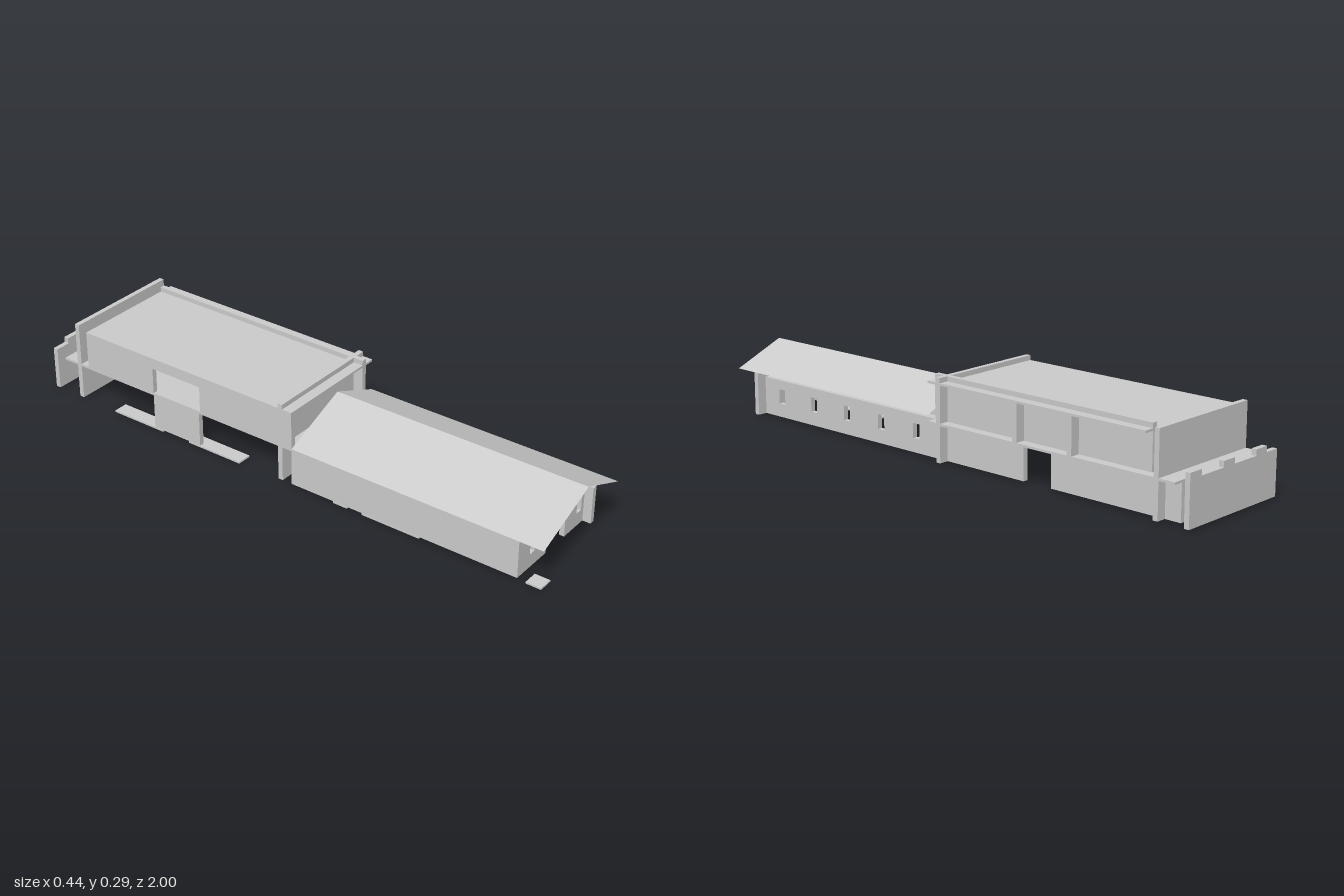
import * as THREE from 'three';

const T = 0.018; // wall thickness
const W = 0.22; // half width
const BASE = 0.007;
const FLOOR = 0.14;
const TOP = 0.292;

export function createModel() {
  const group = new THREE.Group();
  const mat = new THREE.MeshStandardMaterial({ color: 0xcccccc, flatShading: true });
  const thin = new THREE.MeshStandardMaterial({ color: 0xcccccc, flatShading: true, side: THREE.DoubleSide });

  const add = (name, geometry, material = mat) => {
    const mesh = new THREE.Mesh(geometry, material);
    mesh.name = name;
    group.add(mesh);
    return mesh;
  };
  // Box given by its limits on each axis
  const box = (name, x0, x1, y0, y1, z0, z1) =>
    add(name, new THREE.BoxGeometry(x1 - x0, y1 - y0, z1 - z0)
      .translate((x0 + x1) / 2, (y0 + y1) / 2, (z0 + z1) / 2));
  const polygon = (points) => new THREE.Shape(points.map(([x, y]) => new THREE.Vector2(x, y)));
  const rect = (x0, x1, y0, y1) => polygon([[x0, y0], [x1, y0], [x1, y1], [x0, y1]]);
  const panel = (shape) => new THREE.ExtrudeGeometry(shape, { depth: T, bevelEnabled: false });
  // Upright wall along z, drawn in (z, y), with its lower x face at x
  const sideWall = (name, shape, x) =>
    add(name, panel(shape).rotateY(-Math.PI / 2).translate(x + T, 0, 0));

  // Front wall: stepped gable, doorway and two windows
  const steps = [FLOOR, 0.16, 0.18, 0.2, 0.22, 0.2, 0.18, 0.16];
  const outline = [[-W, BASE], [-0.055, BASE], [-0.055, FLOOR], [0.055, FLOOR], [0.055, BASE], [W, BASE]];
  for (let i = 7; i >= 0; i--) {
    outline.push([-W + (i + 1) * 0.055, steps[i]], [-W + i * 0.055, steps[i]]);
  }
  const front = polygon(outline);
  for (const s of [-1, 1]) front.holes.push(rect(s * 0.138 - 0.014, s * 0.138 + 0.014, 0.055, 0.107));
  add('frontWall', panel(front).translate(0, 0, 0.897));

  // Low hall: side walls, right one with windows
  const right = rect(-0.33, 0.945, BASE, FLOOR);
  for (let i = 0; i < 5; i++) {
    const z = 0.143 + i * 0.1665;
    right.holes.push(rect(z - 0.015, z + 0.015, 0.055, 0.107));
  }
  sideWall('rightLowerWall', right, 0.167);
  sideWall('rightRearLowerWall', rect(-0.945, -0.443, BASE, FLOOR), 0.167);
  box('leftHallWall', -W, -W + T, BASE, FLOOR, 0.055, 0.9);

  // Thin gable roof with an off-centre ridge
  const roof = new THREE.BufferGeometry();
  const section = [[-W, FLOOR], [0.027, 0.24], [W, 0.16]];
  const positions = [];
  for (const [x, y] of section) positions.push(x, y, 1, x, y, 0.055);
  roof.setAttribute('position', new THREE.Float32BufferAttribute(positions, 3));
  roof.setIndex([0, 2, 3, 0, 3, 1, 2, 4, 5, 2, 5, 3]);
  const gable = roof.toNonIndexed();
  gable.computeVertexNormals();
  add('gableRoof', gable, thin);

  // Tall block: floor slab and flat roof, both forming ledges on the right
  box('upperFloor', -W, W, FLOOR - 0.008, FLOOR, -0.945, 0.055);
  box('flatRoof', -W, W, 0.267, 0.275, -0.835, 0.055);

  // Upper walls, rising past the roof as parapets
  box('rightUpperWall', 0.167, 0.167 + T, FLOOR, TOP, -0.835, 0.055);
  box('frontUpperWall', -W, W, FLOOR, TOP, 0, T);
  box('rearWall', -W, W, BASE, TOP, -0.886, -0.868);
  const left = rect(-0.835, 0.055, FLOOR, 0.267);
  left.holes.push(rect(-0.535, -0.33, FLOOR + 0.001, 0.235));
  sideWall('leftUpperWall', left, -W);

  // Lower walls below the tall block
  box('innerWall', -W, 0, BASE, FLOOR - 0.005, 0, T);
  box('cornerFin', 0.167, W, BASE, FLOOR, 0, T);
  box('leftLowerPanel', -W, -W + T, BASE, FLOOR, -0.535, -0.335);

  // Fins between the right-hand bays
  for (const z of [-0.33, -0.553]) box('bayFin', 0.185, W, FLOOR, 0.267, z, z + T);

  // Freestanding rear wall with a notched top
  const notches = [[W, 0.18], [0.165, 0.16], [0.055, 0.18], [0, 0.16], [-0.11, 0.18], [-0.165, 0.16], [-W, 0]];
  const rear = [[-W, BASE], [W, BASE]];
  for (let i = 0; i < notches.length - 1; i++) {
    rear.push([notches[i][0], notches[i][1]], [notches[i + 1][0], notches[i][1]]);
  }
  add('freestandingRearWall', panel(polygon(rear)).translate(0, 0, -1));

  // Ground slabs: x and z limits
  const slabs = [
    [-W, -0.167, 0.945, 1], [-0.112, -0.056, 0.556, 0.834], [-W, -0.167, 0.335, 0.556],
    [-W, 0.055, 0.222, 0.278], [-W, -0.167, -0.385, -0.165], [-W, -0.167, -0.72, -0.5],
  ];
  for (const [x0, x1, z0, z1] of slabs) box('groundSlab', x0, x1, 0, 0.006, z0, z1);

  return group;
}
